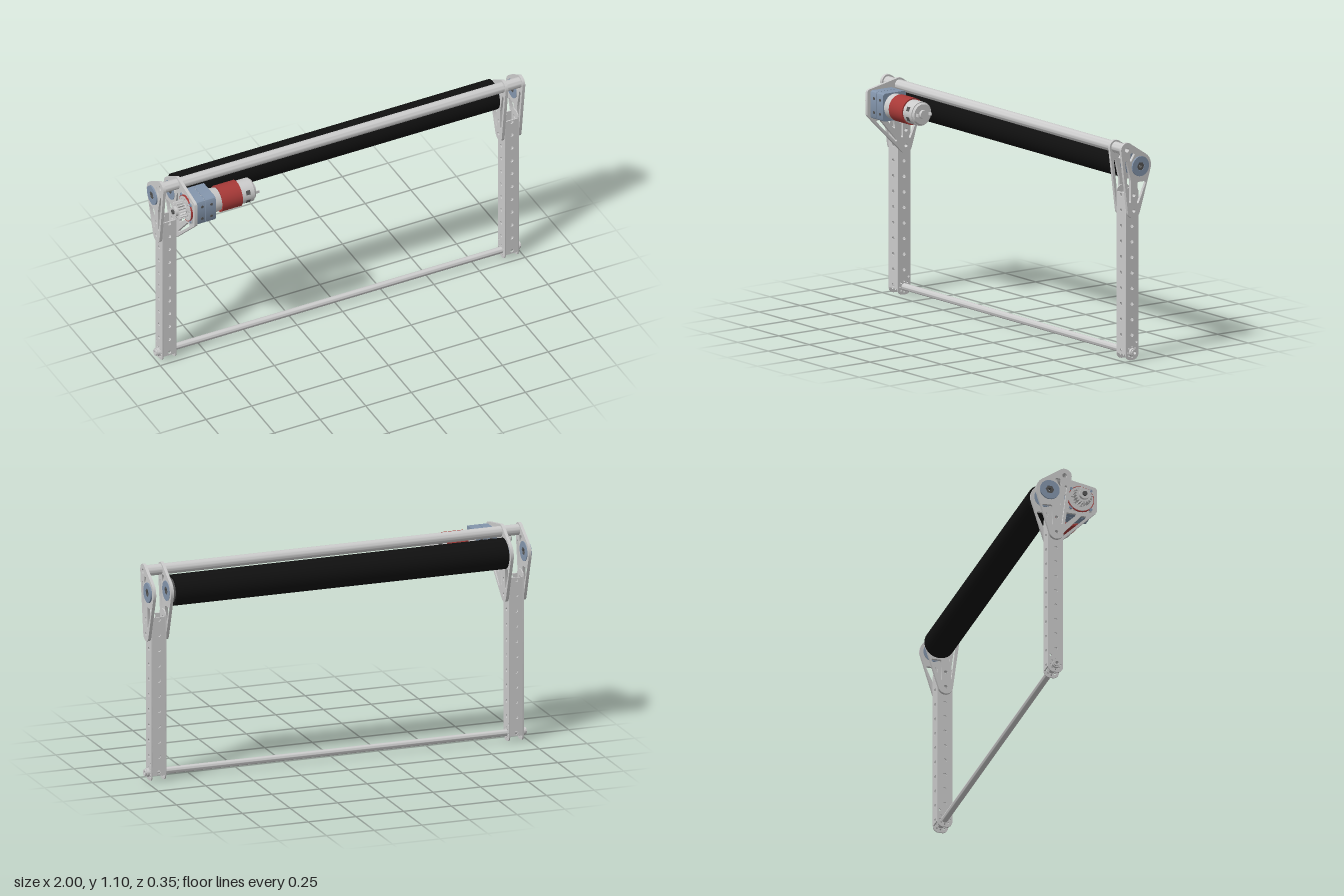
import * as THREE from 'three';
import { toCreasedNormals } from 'three/addons/utils/BufferGeometryUtils.js';

const mat = (color) => new THREE.MeshStandardMaterial({ color });
const GREY = mat(0xcccccc), BLUE = mat(0x8496ad), RED = mat(0xa83a38), BLACK = mat(0x101010), DARK = mat(0x555555);

// Convex outline around circles given as [u, v, radius]
function hull(circles) {
  const pts = [];
  for (const [u, v, r] of circles) {
    for (let i = 0; i < 32; i++) {
      const a = (i / 32) * Math.PI * 2;
      pts.push(new THREE.Vector2(u + r * Math.cos(a), v + r * Math.sin(a)));
    }
  }
  pts.sort((a, b) => a.x - b.x || a.y - b.y);
  const half = (list) => {
    const out = [];
    for (const p of list) {
      while (out.length > 1) {
        const a = out[out.length - 2], b = out[out.length - 1];
        if ((b.x - a.x) * (p.y - a.y) - (b.y - a.y) * (p.x - a.x) > 1e-10) break;
        out.pop();
      }
      out.push(p);
    }
    out.pop();
    return out;
  };
  return [...half(pts), ...half([...pts].reverse())];
}

const circle = (u, v, r) => hull([[u, v, r]]);
const roundRect = (u0, u1, v0, v1, r) =>
  hull([[u0 + r, v0 + r, r], [u1 - r, v0 + r, r], [u1 - r, v1 - r, r], [u0 + r, v1 - r, r]]);
const ngon = (u, v, r, n) => Array.from({ length: n }, (_, i) =>
  new THREE.Vector2(u + r * Math.cos(i / n * Math.PI * 2), v + r * Math.sin(i / n * Math.PI * 2)));

function extrude(outline, holes, depth) {
  const shape = new THREE.Shape(outline);
  shape.holes = holes.map((h) => new THREE.Path(h));
  const geo = new THREE.ExtrudeGeometry(shape, { depth, bevelEnabled: false });
  return toCreasedNormals(geo.translate(0, 0, -depth / 2), 0.6);
}

function add(parent, name, geo, material, x = 0, y = 0, z = 0) {
  const m = new THREE.Mesh(geo, material);
  m.name = name;
  m.position.set(x, y, z);
  parent.add(m);
  return m;
}

// Outline drawn in (z, y), thickness along x
const slab = (parent, name, outline, holes, x, depth, material = GREY) =>
  add(parent, name, extrude(outline, holes, depth).rotateY(-Math.PI / 2), material, x);

const rod = (parent, name, r, x0, x1, y, z, material = GREY, r2 = r, seg = 40) =>
  add(parent, name, new THREE.CylinderGeometry(r2, r, x1 - x0, seg).rotateZ(-Math.PI / 2), material, (x0 + x1) / 2, y, z);

const BAR = [-0.018, 1.06], ROLL = [-0.096, 0.971], FOOT = [-0.06, 0.75], MOTOR = [0.09, 0.985];
const PLATE = [[...BAR, 0.036], [...ROLL, 0.068], [...FOOT, 0.037]];
const PLATE_HOLES = [
  circle(...BAR, 0.012), circle(...ROLL, 0.045), circle(...FOOT, 0.009), circle(-0.06, 0.828, 0.009),
  hull([[-0.012, 1.0, 0.006], [-0.036, 0.9, 0.006], [-0.036, 0.8, 0.006]]),
  hull([[-0.125, 0.885, 0.007], [-0.088, 0.885, 0.007], [-0.084, 0.79, 0.005]]),
  hull([[-0.04, 1.005, 0.005], [-0.06, 1.035, 0.005], [-0.045, 1.035, 0.005]]),
];

function post(parent, side) {
  const g = new THREE.Group();
  g.name = side < 0 ? 'rightPost' : 'leftPost';
  g.position.x = side * 0.938;
  parent.add(g);
  const ys = Array.from({ length: 11 }, (_, i) => 0.047 + i * 0.078);
  // Side walls with the hole row and the bolt circle at the foot
  const bolts = ngon(-0.06, 0.04, 0.026, 8).map((p) => circle(p.x, p.y, 0.0045));
  const holes = [circle(-0.06, 0.04, 0.017), ...bolts, circle(-0.087, 0.088, 0.006),
    ...ys.slice(1).map((y) => circle(-0.06, y, 0.009))];
  for (const s of [-1, 1]) {
    slab(g, 'postSideWall', roundRect(-0.0985, -0.0215, 0, 0.87, 0.03), holes, s * 0.0355, 0.006);
    // Front and back walls
    const wall = [[-0.0365, 0.03], [0.0365, 0.03], [0.0365, 0.84], [-0.0365, 0.84]].map((p) => new THREE.Vector2(...p));
    add(g, s > 0 ? 'postFrontWall' : 'postBackWall',
      extrude(wall, ys.map((y) => circle(0, y, 0.009)), 0.006), GREY, 0, 0, -0.06 + s * 0.0355);
  }
}

function bearing(parent, x) {
  slab(parent, 'bearing', circle(...ROLL, 0.05), [ngon(...ROLL, 0.022, 6)], x, 0.026, BLUE);
  slab(parent, 'hexHub', ngon(...ROLL, 0.022, 6), [circle(...ROLL, 0.009)], x, 0.022, DARK);
}

function motorUnit(parent) {
  const g = new THREE.Group();
  g.name = 'motorUnit';
  parent.add(g);
  const [z, y] = MOTOR;
  // Gearbox stages with screws
  slab(g, 'gearboxFace', roundRect(z - 0.062, z + 0.062, y - 0.062, y + 0.062, 0.012), [], -0.892, 0.02);
  for (const [x, d] of [[-0.858, 0.046], [-0.804, 0.056]])
    slab(g, 'gearboxStage', roundRect(z - 0.07, z + 0.07, y - 0.07, y + 0.07, 0.014), [], x, d, BLUE);
  slab(g, 'gearboxSeam', roundRect(z - 0.066, z + 0.066, y - 0.066, y + 0.066, 0.014), [], -0.833, 0.01);
  for (const sz of [-1, 1]) for (const sy of [-1, 1]) {
    rod(g, 'faceScrew', 0.009, -0.908, -0.9, y + sy * 0.05, z + sz * 0.05, BLUE, 0.009, 16);
    for (const x of [-0.85, -0.8]) {
      add(g, 'sideScrew', new THREE.CylinderGeometry(0.007, 0.007, 0.004, 12).rotateX(Math.PI / 2), DARK, x, y + sy * 0.035, z + sz * 0.071);
    }
  }
  // Face ring, slotted disc and output boss
  slab(g, 'redRing', circle(z, y, 0.068), [circle(z, y, 0.064)], -0.904, 0.008, RED);
  const slots = ngon(z, y, 0.045, 8).map((p) => circle(p.x, p.y, 0.008));
  slab(g, 'faceDisc', circle(z, y, 0.064), slots, -0.905, 0.01);
  // Motor can
  rod(g, 'motorAdapter', 0.064, -0.776, -0.732, y, z, GREY, 0.058);
  rod(g, 'motorSleeve', 0.067, -0.734, -0.625, y, z, RED);
  rod(g, 'motorCan', 0.06, -0.625, -0.556, y, z);
  rod(g, 'motorEndCap', 0.056, -0.556, -0.545, y, z, GREY, 0.05);
  rod(g, 'motorEndBoss', 0.022, -0.545, -0.53, y, z);
  for (const s of [-1, 1]) {
    add(g, 'terminal', new THREE.BoxGeometry(0.025, 0.015, 0.005), GREY, -0.535, y, z + s * 0.038);
    for (const a of [-1, 1])
      add(g, 'motorVent', new THREE.BoxGeometry(0.022, 0.022, 0.004), DARK, -0.59, y + a * 0.025, z + s * 0.054).rotation.x = -a * s * 0.43;
  }
  // Toothed pulley on the output shaft
  const teeth = [];
  for (let i = 0; i < 72; i++) {
    const a = (i / 72) * Math.PI * 2, r = i % 4 < 2 ? 0.046 : 0.036;
    teeth.push(new THREE.Vector2(z + r * Math.cos(a), y + r * Math.sin(a)));
  }
  slab(g, 'pulleyTeeth', teeth, [circle(z, y, 0.011)], -0.94, 0.035);
  rod(g, 'pulleyHub', 0.026, -0.972, -0.9, y, z);
  rod(g, 'outputShaft', 0.012, -0.98, -0.89, y, z, DARK);
}

export function createModel() {
  const model = new THREE.Group();
  model.name = 'rollerFrame';

  for (const s of [-1, 1]) {
    post(model, s);
    slab(model, 'outerPlate', hull(PLATE), PLATE_HOLES, s * 0.9845, 0.015);
    bearing(model, s * 0.987);
    bearing(model, s * 0.888);
    rod(model, 'rollerEnd', 0.062, s * 0.872 - 0.006, s * 0.872 + 0.006, ROLL[1], ROLL[0], DARK);
    slab(model, 'barCollar', circle(-0.06, 0.04, 0.021), [circle(-0.06, 0.04, 0.009)], s * 0.985, 0.014);
  }
  slab(model, 'leftInnerPlate', hull(PLATE), PLATE_HOLES, 0.8915, 0.015);

  // Inner plate widened to carry the motor
  const carrier = [...PLATE, [0.158, 1.043, 0.017], [0.158, 0.935, 0.017]];
  slab(model, 'motorPlate', hull(carrier), [
    ...PLATE_HOLES,
    roundRect(0.028, 0.152, 0.923, 1.047, 0.012),
    hull([[0.115, 0.893, 0.005], [0.098, 0.893, 0.005], [0, 0.783, 0.005]]),
    hull([[0.062, 0.9, 0.006], [0.02, 0.9, 0.006], [0.012, 0.85, 0.005]]),
    hull([[0.015, 1.0, 0.005], [0.012, 0.93, 0.005]]),
  ], -0.8915, 0.015);

  // Cross bars and roller
  slab(model, 'topBar', circle(...BAR, 0.027), [circle(...BAR, 0.012)], 0, 1.954);
  slab(model, 'bottomBar', circle(-0.06, 0.04, 0.017), [circle(-0.06, 0.04, 0.008)], 0, 2);
  rod(model, 'roller', 0.077, -0.872, 0.872, ROLL[1], ROLL[0], BLACK, 0.077, 64);

  motorUnit(model);
  return model;
}
